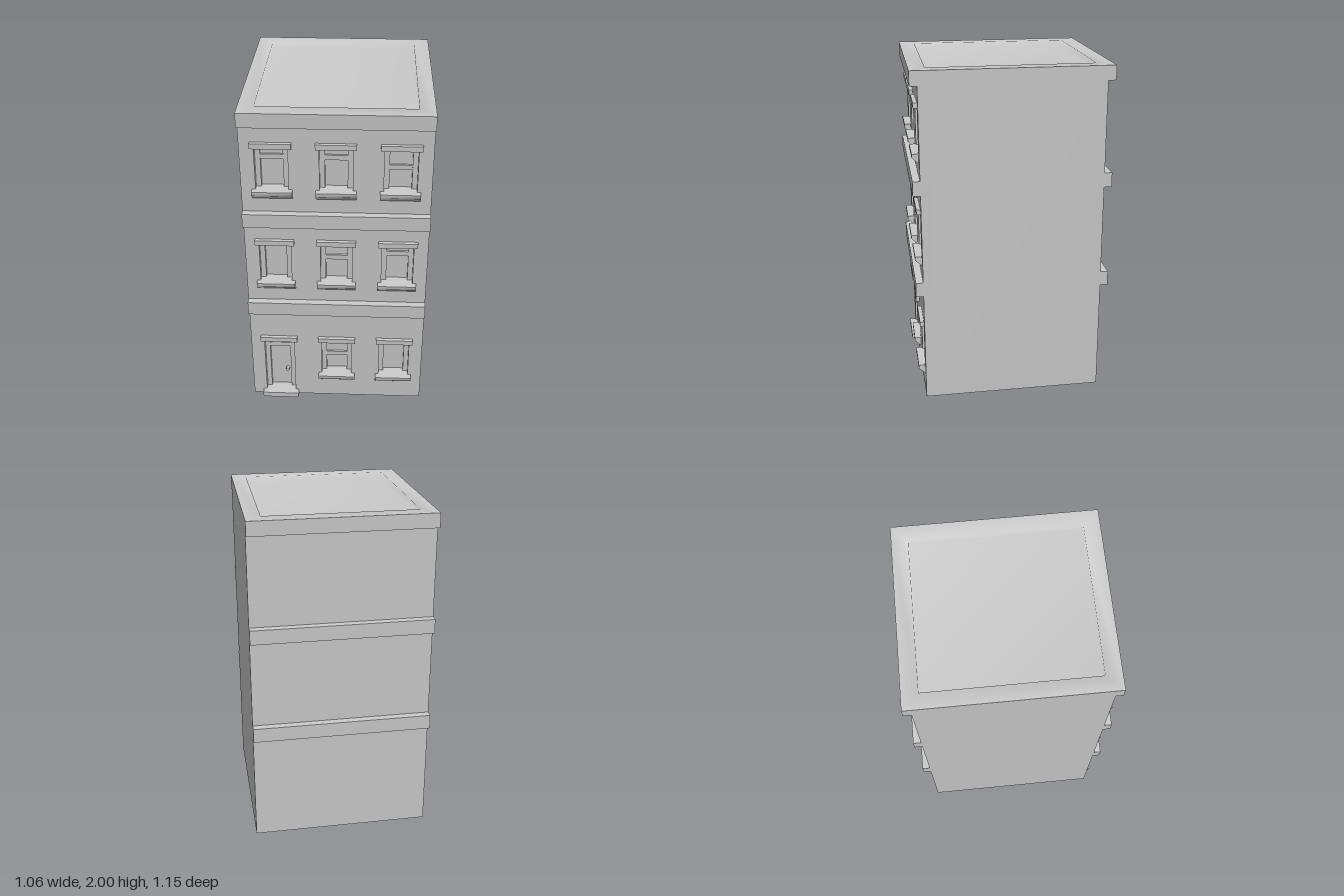
import * as THREE from 'three';
import { toCreasedNormals } from 'three/addons/utils/BufferGeometryUtils.js';

const HALF_W = 0.532, FRONT = 0.534, BACK = -0.532, BAND_Z = 0.577;
const RECESS = 0.06, PANE = FRONT - RECESS;
const OPENING = 0.0925, INNER = 0.063, LEDGE = 0.1135;

// Rows of openings: lintel underside, sill top, sash bar top for each column (null = no bar)
const COLUMNS = [-0.357, 0, 0.357];
const ROWS = [
  { top: 0.442, bottom: 0.185, bars: [0.387, 0.325, null] },
  { top: 1.157, bottom: 0.897, bars: [null, 1.06, 1.095] },
  { top: 1.78, bottom: 1.52, bars: [1.72, 1.72, 1.667] },
];
const DOOR_BOTTOM = 0.034;

// Rectangular rings [halfX, halfZ, y] joined into a skin, optionally capped at the end
function loft(rings, cap) {
  const pos = [], idx = [];
  rings.forEach(([x, z, y]) => pos.push(x, y, z, x, y, -z, -x, y, -z, -x, y, z));
  for (let r = 0; r < rings.length - 1; r++) {
    for (let i = 0; i < 4; i++) {
      const a = r * 4 + i, b = r * 4 + (i + 1) % 4;
      idx.push(a, b, b + 4, a, b + 4, a + 4);
    }
  }
  const n = (rings.length - 1) * 4;
  if (cap) idx.push(n, n + 1, n + 2, n, n + 2, n + 3);
  const g = new THREE.BufferGeometry();
  g.setAttribute('position', new THREE.Float32BufferAttribute(pos, 3));
  g.setIndex(idx);
  g.computeVertexNormals();
  return g;
}

function rect(path, x0, x1, y0, y1) {
  path.moveTo(x0, y0);
  path.lineTo(x1, y0);
  path.lineTo(x1, y1);
  path.lineTo(x0, y1);
  path.closePath();
  return path;
}

export function createModel() {
  const stone = new THREE.MeshStandardMaterial({ color: 0xcccccc });
  stone.name = 'pale grey stone';
  const model = new THREE.Group();
  model.name = 'townhouse';

  function add(parent, name, geometry) {
    const mesh = new THREE.Mesh(geometry, stone);
    mesh.name = name;
    parent.add(mesh);
    return mesh;
  }
  function box(parent, name, x0, x1, y0, y1, z0, z1) {
    const mesh = add(parent, name, new THREE.BoxGeometry(x1 - x0, y1 - y0, z1 - z0));
    mesh.position.set((x0 + x1) / 2, (y0 + y1) / 2, (z0 + z1) / 2);
    return mesh;
  }

  // Main block and pierced front wall
  box(model, 'mainBlock', -HALF_W, HALF_W, 0, 1.915, BACK, PANE);
  const wall = rect(new THREE.Shape(), -HALF_W, HALF_W, 0, 1.915);
  ROWS.forEach((row, r) => COLUMNS.forEach((x, c) => {
    const low = r === 0 && c === 0 ? DOOR_BOTTOM : row.bottom;
    wall.holes.push(rect(new THREE.Path(), x - OPENING, x + OPENING, low, row.top));
  }));
  add(model, 'frontWall', new THREE.ExtrudeGeometry(wall, { depth: RECESS, bevelEnabled: false }))
    .position.z = PANE;

  // Floor bands along front and back
  for (const y of [0.67, 1.29]) {
    box(model, 'frontBand', -HALF_W, HALF_W, y, y + 0.087, FRONT, BAND_Z);
    box(model, 'backBand', -HALF_W, HALF_W, y, y + 0.087, -BAND_Z, BACK);
  }

  // Cornice sides, and a softly shaded sunken roof
  const cornice = loft([
    [HALF_W, 0.53, 1.915], [HALF_W, BAND_Z, 1.915], [HALF_W, BAND_Z, 2],
  ], false);
  add(model, 'cornice', toCreasedNormals(cornice, 0.5));
  add(model, 'roof', loft([
    [HALF_W, BAND_Z, 2], [0.442, 0.483, 2], [0.438, 0.479, 1.96],
  ], true));

  // Sill with a sloped underside
  const profile = new THREE.Shape([
    new THREE.Vector2(-FRONT, 0), new THREE.Vector2(-FRONT, -0.058),
    new THREE.Vector2(-0.573, -0.022), new THREE.Vector2(-0.573, 0),
  ]);
  const sillGeometry = toCreasedNormals(
    new THREE.ExtrudeGeometry(profile, { depth: LEDGE * 2, bevelEnabled: false })
      .rotateY(Math.PI / 2).translate(-LEDGE, 0, 0), 0.95);

  // Windows and door
  ROWS.forEach((row, r) => COLUMNS.forEach((x, c) => {
    const isDoor = r === 0 && c === 0;
    const low = isDoor ? DOOR_BOTTOM : row.bottom;
    const unit = new THREE.Group();
    unit.name = isDoor ? 'door' : 'window';
    model.add(unit);

    box(unit, 'lintel', x - LEDGE, x + LEDGE, row.top, row.top + 0.032, FRONT, 0.557);
    for (const s of [-1, 1]) {
      const a = x + s * INNER, b = x + s * OPENING;
      box(unit, 'jamb', Math.min(a, b), Math.max(a, b), low, row.top, PANE, PANE + 0.025);
    }
    const bar = row.bars[c];
    if (bar !== null) {
      box(unit, 'sashBar', x - INNER, x + INNER, bar - 0.03, bar, PANE, PANE + 0.02);
      box(unit, 'upperPane', x - INNER, x + INNER, bar, row.top, PANE, PANE + 0.008);
    }
    if (isDoor) {
      box(unit, 'doorstep', x - LEDGE, x + LEDGE, 0, DOOR_BOTTOM, FRONT, 0.573);
      const knob = add(unit, 'doorKnob', new THREE.CylinderGeometry(0.011, 0.011, 0.025, 16));
      knob.rotation.x = Math.PI / 2;
      knob.position.set(-0.316, 0.167, PANE + 0.0125);
    } else {
      add(unit, 'sill', sillGeometry).position.set(x, row.bottom, 0);
    }
  }));

  return model;
}
